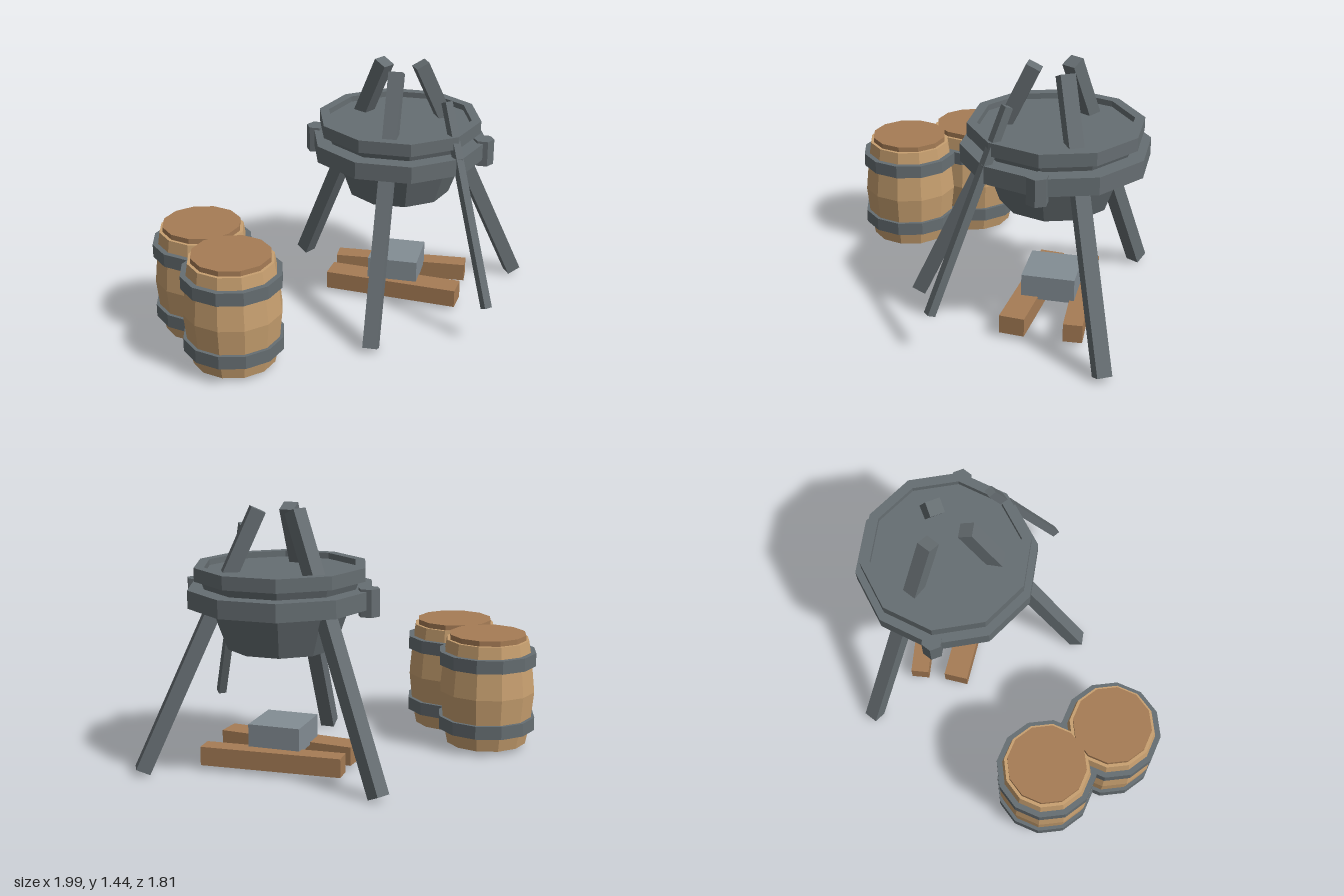
import * as THREE from 'three';

const mat = (color) => new THREE.MeshStandardMaterial({ color, flatShading: true });
const iron = mat(0x666e72), stoneGrey = mat(0x838d94), darkWood = mat(0xa67c55), paleWood = mat(0xc8a070);

function add(parent, name, geometry, material, x = 0, y = 0, z = 0) {
  const mesh = new THREE.Mesh(geometry, material);
  mesh.name = name;
  mesh.position.set(x, y, z);
  parent.add(mesh);
  return mesh;
}

const group = (parent, name, x, y, z) => {
  const g = new THREE.Group();
  g.name = name;
  g.position.set(x, y, z);
  parent.add(g);
  return g;
};

// Turned shape with a given number of flat sides and a corner on the x axis
const turned = (profile, sides) => new THREE.LatheGeometry(
  profile.map(([r, y]) => new THREE.Vector2(r, y)), sides, Math.PI / 2);

// Square beam from a to b, with one pair of sides facing along the heading
function beam(parent, name, a, b, width) {
  const dir = b.clone().sub(a);
  const mesh = add(parent, name, new THREE.BoxGeometry(width, dir.length(), width), iron);
  mesh.position.copy(a).add(b).multiplyScalar(0.5);
  const up = dir.normalize();
  const side = new THREE.Vector3(up.z, 0, -up.x).normalize();
  const front = new THREE.Vector3().crossVectors(side, up);
  mesh.quaternion.setFromRotationMatrix(new THREE.Matrix4().makeBasis(side, up, front));
}

function barrel(parent, name, x, z) {
  const g = group(parent, name, x, 0, z);
  add(g, 'staves', turned([[0, 0.025], [0.232, 0.025], [0.258, 0.15], [0.277, 0.335],
    [0.258, 0.52], [0.24, 0.635], [0, 0.635]], 12), paleWood);
  add(g, 'barrelLid', turned([[0.222, 0.62], [0.222, 0.665], [0, 0.665]], 12), darkWood);
  for (const y of [0.148, 0.528]) {
    add(g, 'hoop', new THREE.CylinderGeometry(0.282, 0.282, 0.076, 12), iron, 0, y, 0);
  }
}

export function createModel() {
  const model = new THREE.Group();
  model.name = 'cauldronCamp';
  const cx = 0.27, cz = -0.42;

  // Cauldron: tapered pot, band, rim with a sunken lid, and two lugs
  const pot = group(model, 'cauldron', cx, 0, cz);
  add(pot, 'bowl', turned([[0, 0.68], [0.3, 0.68], [0.442, 1.07]], 10), iron);
  add(pot, 'band', turned([[0.38, 0.917], [0.513, 0.917], [0.513, 1.015], [0.4, 1.015]], 10), iron);
  add(pot, 'rimAndLid', turned([[0.42, 1.06], [0.475, 1.06], [0.475, 1.133], [0.42, 1.133],
    [0.42, 1.1], [0, 1.1]], 10), iron);
  for (const s of [-1, 1]) {
    add(pot, 'lug', new THREE.CylinderGeometry(0.06, 0.06, 0.15, 6, 1, false, Math.PI / 2),
      iron, s * 0.495, 0.953, 0);
  }

  // Three legs leaning inwards through the pot
  for (let i = 0; i < 3; i++) {
    const a = i * Math.PI * 2 / 3;
    const at = (r, y) => new THREE.Vector3(cx + r * Math.sin(a), y, cz + r * Math.cos(a));
    beam(model, 'leg', at(0.773, 0.02), at(0.122, 1.428), 0.082);
  }

  // Poker resting against the rim
  beam(model, 'poker', new THREE.Vector3(0.882, 0.225, 0.12), new THREE.Vector3(0.57, 1.305, -0.22), 0.046);

  // Fire place: two logs with a stone block across them
  for (const [z, depth, turn] of [[-0.308, 0.14, -0.093], [-0.585, 0.105, 0.047]]) {
    add(model, 'log', new THREE.BoxGeometry(0.795, 0.105, depth), darkWood, cx, 0.082, z).rotation.y = turn;
  }
  add(model, 'stoneBlock', new THREE.BoxGeometry(0.295, 0.14, 0.295), stoneGrey, cx, 0.19, -0.418);

  barrel(model, 'backBarrel', -0.718, 0.288);
  barrel(model, 'frontBarrel', -0.442, 0.618);
  return model;
}
